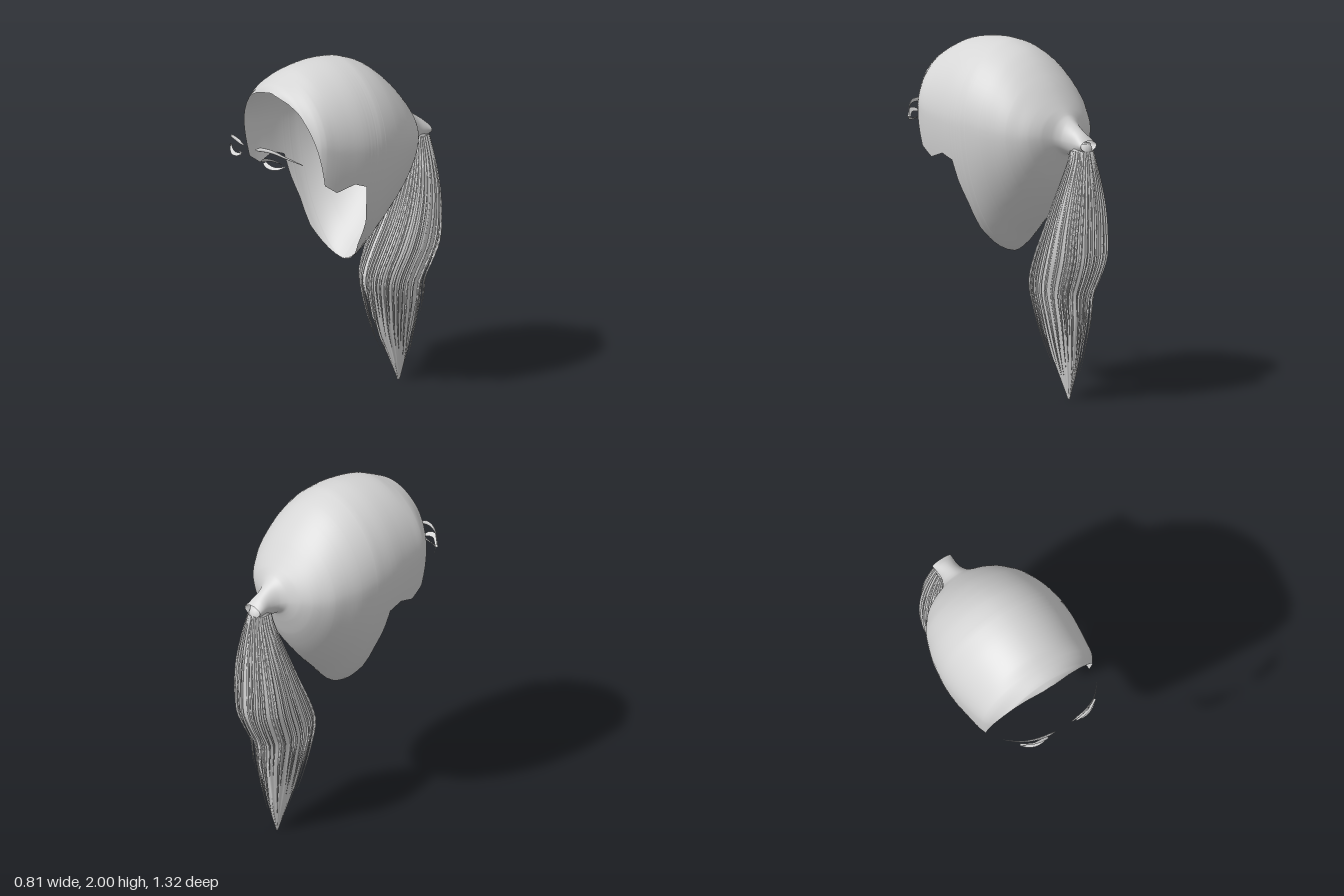
import * as THREE from 'three';

// Surface through rows of points; closed joins the ends of each row
function loft(rows, closed, material, name) {
  const n = rows[0].length, index = [];
  for (let r = 0; r < rows.length - 1; r++) {
    for (let i = 0; i < (closed ? n : n - 1); i++) {
      const a = r * n + i, b = r * n + (i + 1) % n;
      index.push(a, a + n, b, b, a + n, b + n);
    }
  }
  const geo = new THREE.BufferGeometry();
  geo.setAttribute('position', new THREE.Float32BufferAttribute(rows.flat(2), 3));
  geo.setIndex(index);
  geo.computeVertexNormals();
  const mesh = new THREE.Mesh(geo, material);
  mesh.name = name;
  return mesh;
}

// Table lookup by the rising first column, with straight or smooth steps
function lookup(table, t, smooth) {
  const last = table.length - 1;
  let i = 0;
  while (i < last - 1 && t > table[i + 1][0]) i++;
  const a = table[i], b = table[i + 1], h = b[0] - a[0];
  const f = Math.min(1, Math.max(0, (t - a[0]) / h));
  const slope = (j, k) => {
    const p = table[Math.max(0, j - 1)], q = table[Math.min(last, j + 1)];
    return (q[k] - p[k]) / (q[0] - p[0]);
  };
  return a.map((v, k) => {
    const d = b[k] - v;
    if (!smooth) return v + d * f;
    return v + d * f * f * (3 - 2 * f)
      + h * f * (1 - f) * ((1 - f) * slope(i, k) - f * slope(i + 1, k));
  });
}

function seeded(seed) {
  return () => (seed = (seed * 16807) % 2147483647) / 2147483647;
}

// z, half width, top, widest height, bottom of the hair slices
const SLICES = [
  [-0.585, 0.062, 1.485, 1.455, 1.42], [-0.55, 0.06, 1.515, 1.46, 1.4],
  [-0.5, 0.06, 1.55, 1.47, 1.385], [-0.45, 0.08, 1.585, 1.48, 1.39],
  [-0.42, 0.115, 1.61, 1.49, 1.385], [-0.39, 0.185, 1.65, 1.5, 1.32],
  [-0.35, 0.245, 1.705, 1.5, 1.23], [-0.3, 0.29, 1.77, 1.5, 1.145],
  [-0.25, 0.325, 1.825, 1.51, 1.075], [-0.18, 0.355, 1.89, 1.52, 0.99],
  [-0.1, 0.382, 1.945, 1.53, 0.905], [0, 0.4, 1.985, 1.55, 0.8],
  [0.06, 0.404, 1.996, 1.55, 0.79], [0.15, 0.402, 2, 1.56, 0.79],
  [0.25, 0.39, 1.99, 1.57, 0.8], [0.33, 0.378, 1.972, 1.58, 0.8],
  [0.39, 0.365, 1.945, 1.6, 0.8], [0.42, 0.35, 1.93, 1.6, 0.8],
  [0.46, 0.315, 1.91, 1.6, 0.8], [0.48, 0.3, 1.897, 1.6, 0.8],
  [0.49, 0.27, 1.885, 1.6, 0.8], [0.505, 0.2, 1.868, 1.6, 0.8],
];

// z, height of the hairline around the face
const HAIRLINE = [
  [0, 0.8], [0.03, 0.87], [0.06, 0.95], [0.07, 1.1], [0.1, 1.22], [0.12, 1.34],
  [0.2, 1.37], [0.31, 1.335], [0.39, 1.39], [0.42, 1.53], [0.46, 1.71],
  [0.48, 1.8], [0.49, 1.835], [0.505, 1.863],
];

// Hair drawn back from the face, open at the face and at the tie
function hairCap(material) {
  const stations = [...SLICES, ...HAIRLINE].map((s) => s[0]);
  for (let z = -0.575; z < 0.48; z += 0.01) stations.push(Number(z.toFixed(3)));
  const zs = [...new Set(stations)].sort((a, b) => a - b);
  const half = 32, upper = 1.9, lower = 1.75;
  const rows = zs.map((z) => {
    const [, w, top, mid, bottom] = lookup(SLICES, z, true);
    const cut = z <= 0 ? bottom : lookup(HAIRLINE, z, false)[1];
    const end = cut > mid
      ? Math.acos(Math.min(1, (cut - mid) / (top - mid)) ** (upper / 2))
      : Math.PI / 2 + Math.asin(Math.min(1, (mid - cut) / (mid - bottom)) ** (lower / 2));
    const row = [];
    for (let i = -half; i <= half; i++) {
      const a = end * i / half, s = Math.sin(a), c = Math.cos(a);
      const power = 2 / (c > 0 ? upper : lower);
      const x = w * Math.sign(s) * Math.abs(s) ** power;
      const y = mid + (c > 0 ? top - mid : bottom - mid) * Math.abs(c) ** power;
      row.push([x, y, z]);
    }
    return row;
  });
  return loft(rows, false, material, 'hairCap');
}

// drop below the tie, front z, back z, half width of the ponytail
const TAIL = [
  [0, -0.47, -0.585, 0.05], [0.08, -0.46, -0.605, 0.07], [0.2, -0.42, -0.63, 0.11],
  [0.35, -0.36, -0.65, 0.15], [0.5, -0.295, -0.655, 0.17], [0.65, -0.22, -0.648, 0.17],
  [0.78, -0.168, -0.595, 0.15], [0.86, -0.165, -0.555, 0.135], [1, -0.2, -0.54, 0.11],
  [1.15, -0.25, -0.51, 0.08], [1.3, -0.32, -0.475, 0.05], [1.46, -0.4, -0.42, 0.006],
];

function tailPoint(drop, angle, scale) {
  const [, front, back, w] = lookup(TAIL, drop, true);
  return [
    w * scale * Math.cos(angle) - 0.012 * drop,
    1.465 - drop,
    (front + back) / 2 + (front - back) / 2 * scale * Math.sin(angle),
  ];
}

function ponytail(material) {
  const group = new THREE.Group();
  group.name = 'ponytail';
  // Core with soft locks, closed at the top
  const rows = [], sides = 120;
  for (let r = -1; r <= 44; r++) {
    const drop = 1.463 * Math.max(0, r) / 44, row = [];
    for (let i = 0; i < sides; i++) {
      const a = 2 * Math.PI * i / sides;
      const locks = 0.02 * Math.sin(13 * a) + 0.012 * Math.sin(22 * a + 1);
      const scale = r < 0 ? 0.02 : 0.95 + locks * Math.min(1, drop * 4) - 0.25 * Math.max(0, drop - 0.85);
      row.push(tailPoint(drop, -a, scale));
    }
    rows.push(row);
  }
  group.add(loft(rows, true, material, 'tailCore'));
  // Loose tapering strands of uneven length, fanning out at the ends
  const random = seeded(7), count = 48;
  for (let s = 0; s < count; s++) {
    const angle = 2 * Math.PI * (s + random()) / count;
    const length = 1.02 + 0.33 * random(), spread = 0.16 * random();
    const strand = [];
    for (let r = 0; r <= 24; r++) {
      const t = r / 24, drop = 0.04 + (length - 0.04) * t;
      const [x, y, z] = tailPoint(drop, angle, 0.95 + spread * t + 0.15 * Math.max(0, drop - 0.9));
      const radius = 0.007 * Math.min(1, (1 - t) * 3) + 0.0005;
      strand.push([0, 1, 2, 3].map((k) => {
        const a = angle - k * Math.PI / 2;
        return [x + radius * Math.cos(a), y, z + radius * Math.sin(a)];
      }));
    }
    group.add(loft(strand, true, material, 'tailStrand'));
  }
  return group;
}

function smoothCurve(points, side) {
  return new THREE.CatmullRomCurve3(points.map(([x, y, z]) => new THREE.Vector3(x * side, y, z)))
    .getPoints(20).map((p) => p.toArray());
}

// Smooth ribbon between two edge curves, mirrored by side
function ribbon(upper, lower, side, material, name) {
  const edges = [smoothCurve(upper, side), smoothCurve(lower, side)];
  return loft(side > 0 ? edges : edges.reverse(), false, material, name);
}

// Rounded brow tapering to its outer end
function eyebrow(side, material) {
  const path = smoothCurve([[0.055, 1.581, 0.655], [0.12, 1.596, 0.652], [0.19, 1.594, 0.632],
    [0.25, 1.569, 0.592], [0.312, 1.528, 0.52]], side);
  const rows = path.map(([x, y, z], i) => {
    const size = Math.min(1, 0.3 + i / 4) * (1 - 0.85 * (i / 20) ** 2);
    return Array.from({ length: 8 }, (_, k) => {
      const a = -side * k * Math.PI / 4;
      return [x, y + 0.013 * size * Math.sin(a), z + 0.006 * size * Math.cos(a)];
    });
  });
  return loft(rows, true, material, 'eyebrow');
}

function eyeDetails(side, material) {
  const group = new THREE.Group();
  group.name = side > 0 ? 'leftEyeDetails' : 'rightEyeDetails';
  group.add(eyebrow(side, material));
  group.add(ribbon(
    [[0.09, 1.52, 0.648], [0.13, 1.548, 0.656], [0.18, 1.558, 0.65], [0.22, 1.546, 0.625], [0.254, 1.52, 0.6]],
    [[0.105, 1.515, 0.625], [0.14, 1.531, 0.632], [0.18, 1.538, 0.63], [0.215, 1.53, 0.61], [0.245, 1.515, 0.585]],
    side, material, 'upperEyelid'));
  group.add(ribbon(
    [[0.105, 1.518, 0.622], [0.135, 1.508, 0.622], [0.18, 1.504, 0.62], [0.22, 1.51, 0.605], [0.245, 1.52, 0.592]],
    [[0.1, 1.51, 0.64], [0.13, 1.496, 0.645], [0.18, 1.49, 0.64], [0.22, 1.497, 0.622], [0.25, 1.515, 0.6]],
    side, material, 'lowerEyelid'));
  return group;
}

export function createModel() {
  const hair = new THREE.MeshStandardMaterial({ color: 0xd6d6d6, side: THREE.DoubleSide });
  hair.name = 'lightGrey';
  const model = new THREE.Group();
  model.name = 'ponytailHair';
  model.add(hairCap(hair), ponytail(hair));
  for (const side of [1, -1]) model.add(eyeDetails(side, hair));
  return model;
}
